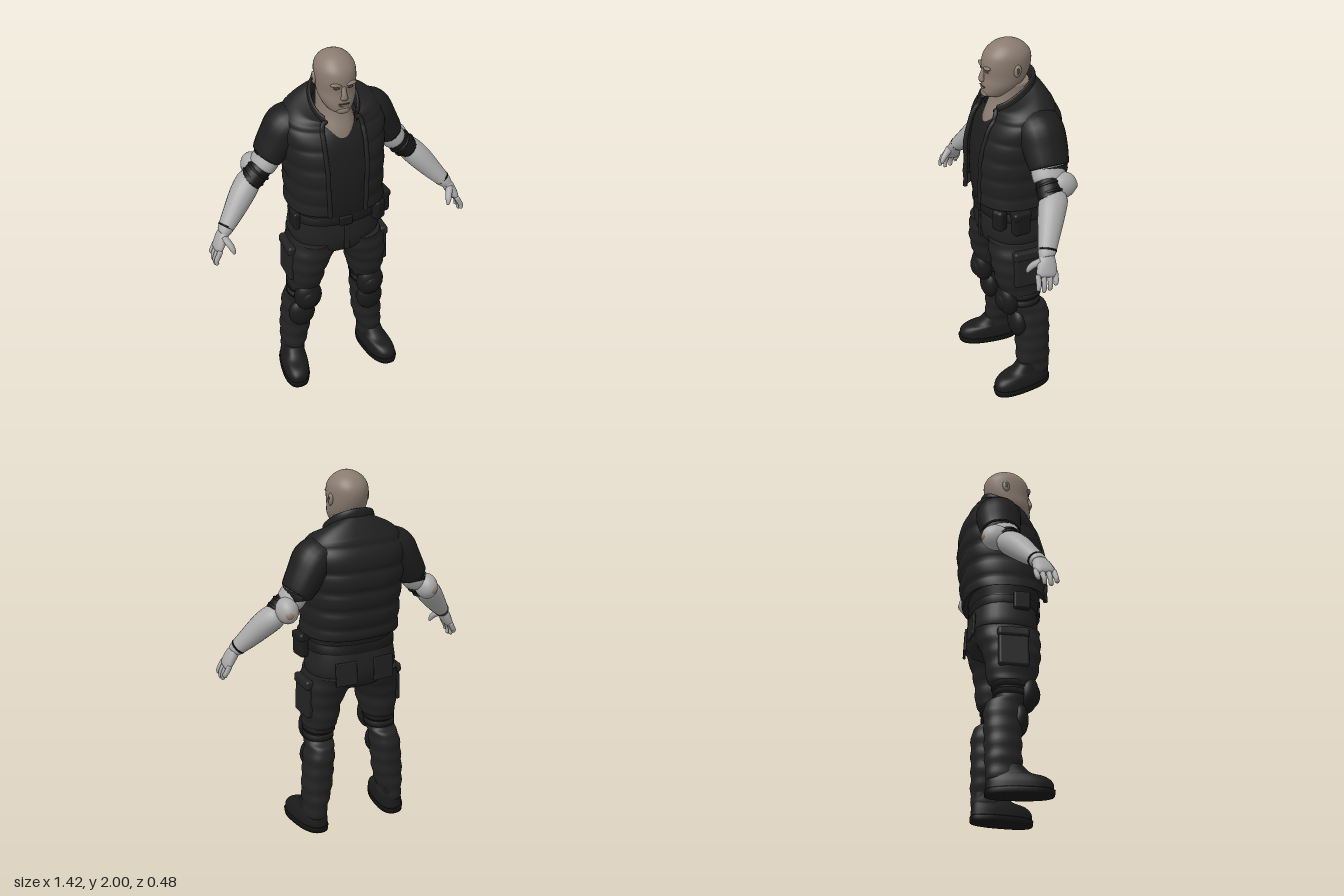
import * as THREE from 'three';
import { RoundedBoxGeometry } from 'three/addons/geometries/RoundedBoxGeometry.js';

const mat = (name, color, side = THREE.FrontSide) => {
  const m = new THREE.MeshStandardMaterial({ color, side });
  m.name = name;
  return m;
};
const V = (x, y, z) => new THREE.Vector3(x, y, z);

// Catmull-Rom value between b and c
const spline = (a, b, c, d, t) =>
  b + 0.5 * t * (c - a + t * (2 * a - 5 * b + 4 * c - d + t * (3 * (b - c) + d - a)));

// Subdivide a table of cross-section numbers
function smooth(rows, k = 5) {
  const out = [], last = rows.length - 1;
  for (let i = 0; i < last; i++) {
    const [a, b, c, d] = [i - 1, i, i + 1, i + 2].map(j => rows[Math.min(Math.max(j, 0), last)]);
    for (let s = 0; s < k; s++) out.push(b.map((p, n) => spline(a[n], p, c[n], d[n], s / k)));
  }
  out.push(rows[last]);
  return out;
}

// Skin a list of rings; closed rings get fan caps
function loft(rings, closed = true) {
  const pos = [], idx = [], n = rings[0].length, last = rings.length - 1;
  rings.forEach(r => r.forEach(p => pos.push(p.x, p.y, p.z)));
  for (let j = 0; j < last; j++) for (let i = 0; i < (closed ? n : n - 1); i++) {
    const a = j * n + i, b = j * n + (i + 1) % n;
    idx.push(a, b, a + n, b, b + n, a + n);
  }
  if (closed) [0, last].forEach(j => {
    const c = rings[j].reduce((s, p) => s.add(p), V(0, 0, 0)).divideScalar(n), m = pos.length / 3;
    pos.push(c.x, c.y, c.z);
    for (let i = 0; i < n; i++) {
      const a = j * n + i, b = j * n + (i + 1) % n;
      if (j) idx.push(a, b, m); else idx.push(b, a, m);
    }
  });
  const g = new THREE.BufferGeometry();
  g.setAttribute('position', new THREE.Float32BufferAttribute(pos, 3));
  g.setIndex(idx);
  g.computeVertexNormals();
  return g;
}

// Level ring from [y, centreX, halfWidth, zFront, zBack, tilt, frontGap]
function ring([y, cx, rx, zf, zb, tilt = 0, gap = 0], e = 2.3, n = 40, turn = 0) {
  const a0 = gap > 0 ? Math.asin(Math.min(1, (gap / rx) ** (e / 2))) : 0;
  const pw = v => Math.sign(v) * Math.abs(v) ** (2 / e);
  return Array.from({ length: n }, (_, i) => {
    const a = gap > 0 ? a0 + (2 * Math.PI - 2 * a0) * i / (n - 1) : 2 * Math.PI * i / n;
    const z = (zf + zb) / 2 + pw(Math.cos(a)) * (zf - zb) / 2;
    return V(cx + rx * pw(Math.sin(a)) + turn * z, y - tilt * z, z);
  });
}
const body = (rows, e) => loft(smooth(rows).map(r => ring(r, e)));

// Limb along points [x, y, z, thickness, depth]; depth runs roughly along z
function limb(points, k = 4, n = 20) {
  const rows = smooth(points, k), at = r => V(r[0], r[1], r[2]);
  return loft(rows.map((r, j) => {
    const d = at(rows[Math.min(j + 1, rows.length - 1)]).sub(at(rows[Math.max(j - 1, 0)])).normalize();
    const v = V(0, 0, 1).addScaledVector(d, -d.z).normalize(), u = d.clone().cross(v);
    return Array.from({ length: n }, (_, i) => {
      const a = 2 * Math.PI * i / n;
      return at(r).addScaledVector(u, r[3] * Math.sin(a)).addScaledVector(v, r[4] * Math.cos(a));
    });
  }));
}

export function createModel() {
  const model = new THREE.Group();
  const vest = mat('vest black', 0x202020, THREE.DoubleSide), shirt = mat('shirt black', 0x1d1d1d);
  const cloth = mat('trouser black', 0x222222), boot = mat('boot black', 0x1a1a1a);
  const skin = mat('skin', 0x8a7b70), shade = mat('skin crease', 0x4b423c);
  const pale = mat('pale grey arm', 0xa9a9a9), joint = mat('joint black', 0x151515), tan = mat('elbow tan', 0x9c8372);
  const add = (parent, name, geo, m, p, r) => {
    const o = new THREE.Mesh(geo, m);
    o.name = name;
    if (p) o.position.set(...p);
    if (r) o.rotation.set(...r);
    parent.add(o);
    return o;
  };
  const blob = (parent, name, m, p, s, r) => add(parent, name, new THREE.SphereGeometry(1, 24, 16), m, p, r).scale.set(...s);
  const block = (parent, name, m, s, p, r) => add(parent, name, new RoundedBoxGeometry(...s, 3, Math.min(...s) * 0.35), m, p, r);

  // Head and neck
  add(model, 'head', body([
    [1.708, 0, 0.04, 0.145, 0.03], [1.725, 0, 0.065, 0.162, 0], [1.77, 0, 0.09, 0.163, -0.045],
    [1.82, 0, 0.098, 0.157, -0.08], [1.88, 0, 0.103, 0.16, -0.097], [1.93, 0, 0.099, 0.147, -0.092],
    [1.97, 0, 0.074, 0.11, -0.06], [1.993, 0, 0.036, 0.07, -0.015], [2, 0, 0.006, 0.034, 0.02]], 2.1), skin);
  add(model, 'neck', body([[1.56, 0, 0.1, 0.16, -0.1], [1.61, 0, 0.1, 0.147, -0.09], [1.68, 0, 0.09, 0.12, -0.09],
    [1.78, 0, 0.085, 0.1, -0.085]], 2.2), skin);
  add(model, 'nose', limb([[0, 1.86, 0.15, 0.012, 0.01], [0, 1.82, 0.164, 0.014, 0.014], [0, 1.8, 0.166, 0.02, 0.014], [0, 1.793, 0.162, 0.014, 0.008]]), skin);
  block(model, 'mouth', shade, [0.056, 0.006, 0.008], [0, 1.766, 0.162]);
  blob(model, 'lowerLip', skin, [0, 1.758, 0.158], [0.026, 0.007, 0.01]);
  blob(model, 'chin', skin, [0, 1.727, 0.15], [0.035, 0.02, 0.018]);
  for (const s of [1, -1]) {
    blob(model, 'brow', skin, [s * 0.036, 1.871, 0.15], [0.034, 0.01, 0.014], [0, 0, s * 0.12]);
    blob(model, 'eye', shade, [s * 0.036, 1.853, 0.153], [0.017, 0.006, 0.005], [0, s * 0.2, 0]);
    blob(model, 'ear', skin, [s * 0.104, 1.86, 0.012], [0.012, 0.033, 0.02], [-0.15, 0, 0]);
    blob(model, 'earHollow', shade, [s * 0.114, 1.862, 0.013], [0.004, 0.018, 0.009], [-0.15, 0, 0]);
  }

  // Shirt
  add(model, 'shirt', body([[1.08, 0, 0.225, 0.19, -0.16], [1.2, 0, 0.235, 0.21, -0.18], [1.35, 0, 0.24, 0.212, -0.2],
    [1.5, 0, 0.25, 0.185, -0.2], [1.59, 0, 0.2, 0.145, -0.16], [1.63, 0, 0.12, 0.1, -0.11]], 2.4), shirt);

  // Quilted open vest, with a turned-in hem
  const vestRows = smooth([[1.15, 0, 0.262, 0.234, -0.2, 0, 0.1], [1.2, 0, 0.26, 0.234, -0.213, 0, 0.1],
    [1.35, 0, 0.264, 0.234, -0.23, 0, 0.105], [1.5, 0, 0.274, 0.208, -0.238, 0, 0.11], [1.6, 0, 0.277, 0.17, -0.222, 0.08, 0.11],
    [1.665, 0, 0.25, 0.142, -0.18, 0.2, 0.105], [1.705, 0, 0.2, 0.135, -0.145, 0.35, 0.09], [1.725, 0, 0.13, 0.14, -0.112, 0.6, 0.08]], 9);
  const puffed = vestRows.map(([y, cx, rx, zf, zb, t, g]) => {
    const p = y < 1.66 ? 0.016 * (Math.sqrt(Math.abs(Math.sin(Math.PI * (y - 1.21) / 0.105))) - 0.75) : 0;
    return [y, cx, rx + p * 0.6, zf + p * 0.6, zb - p, t, g];
  });
  puffed.unshift([1.17, 0, 0.235, 0.205, -0.175, 0, 0.1]);
  const vestRings = puffed.map(r => ring(r, 2.45, 64));
  add(model, 'vest', loft(vestRings, false), vest);
  for (const i of [0, 63]) {
    const path = new THREE.CatmullRomCurve3(vestRings.slice(1).filter((_, j) => j % 4 === 0).map(r => r[i]));
    add(model, 'vestEdge', new THREE.TubeGeometry(path, 50, 0.013, 8), vest);
  }
  const collar = [[1.69, 0, 0.128, 0.142, -0.112, 0.6, 0.085], [1.73, 0, 0.132, 0.15, -0.118, 0.64, 0.085], [1.757, 0, 0.127, 0.152, -0.11, 0.66, 0.085],
    [1.762, 0, 0.119, 0.144, -0.1, 0.66, 0.083], [1.745, 0, 0.112, 0.135, -0.093, 0.64, 0.08], [1.69, 0, 0.11, 0.13, -0.092, 0.6, 0.08]];
  add(model, 'collar', loft(smooth(collar, 3).map(r => ring(r, 2.2)), false), vest);

  // Hips and belt
  add(model, 'hips', body([[0.83, 0, 0.09, 0.09, -0.09], [0.87, 0, 0.2, 0.165, -0.155], [0.94, 0, 0.248, 0.188, -0.182],
    [1.02, 0, 0.244, 0.19, -0.18], [1.1, 0, 0.23, 0.183, -0.165], [1.16, 0, 0.225, 0.18, -0.16]], 2.4), cloth);
  add(model, 'belt', loft([[1.06, 0, 0.232, 0.182, -0.166], [1.063, 0, 0.245, 0.197, -0.178], [1.108, 0, 0.242, 0.195, -0.175],
    [1.111, 0, 0.23, 0.182, -0.165]].map(r => ring(r, 2.4))), boot);
  block(model, 'buckle', boot, [0.07, 0.055, 0.02], [0, 1.085, 0.198]);
  block(model, 'fly', cloth, [0.03, 0.15, 0.014], [0.01, 0.965, 0.187]);
  block(model, 'frontPouch', boot, [0.07, 0.12, 0.06], [0.2, 1.085, 0.155], [0, 0.5, 0]);
  block(model, 'sidePouch', boot, [0.06, 0.14, 0.1], [0.26, 1.08, 0.06], [0, 0.1, 0]);
  block(model, 'sidePouchFlap', boot, [0.066, 0.045, 0.106], [0.26, 1.125, 0.06], [0, 0.1, 0]);
  block(model, 'smallPouch', boot, [0.035, 0.1, 0.09], [-0.24, 1.075, 0.07]);

  // Arms and legs: one side, mirrored for the other
  for (const s of [1, -1]) {
    const side = new THREE.Group();
    side.name = s > 0 ? 'leftLimbs' : 'rightLimbs';
    side.scale.x = s;
    model.add(side);

    // Trouser leg with soft folds
    const leg = smooth([[0.08, 0.238, 0.058, 0.06, -0.115], [0.16, 0.233, 0.066, 0.066, -0.122], [0.25, 0.222, 0.08, 0.066, -0.122],
      [0.36, 0.213, 0.081, 0.07, -0.125], [0.46, 0.203, 0.08, 0.075, -0.125], [0.505, 0.196, 0.077, 0.085, -0.11],
      [0.535, 0.192, 0.075, 0.09, -0.066], [0.6, 0.185, 0.08, 0.115, -0.075], [0.64, 0.178, 0.092, 0.15, -0.105],
      [0.75, 0.17, 0.108, 0.176, -0.115], [0.85, 0.143, 0.132, 0.184, -0.142], [0.93, 0.128, 0.122, 0.184, -0.175]], 6)
      .map(([y, cx, rx, zf, zb]) => {
        const f = 0.003 * Math.sin(y * 75);
        return [y, cx, rx + f, zf + f, zb - f];
      });
    add(side, 'trouserLeg', loft(leg.map(r => ring(r, 2.2))), cloth);
    block(side, 'cargoPocket', cloth, [0.04, 0.19, 0.16], [0.265, 0.78, 0.02], [0, 0, 0.04]);
    block(side, 'pocketFlap', cloth, [0.048, 0.055, 0.17], [0.266, 0.875, 0.02], [0, 0, 0.06]);
    block(side, 'backPocket', cloth, [0.12, 0.13, 0.015], [0.11, 0.96, -0.178], [0.05, -0.1, 0]);

    // Knee guards and straps
    blob(side, 'kneePad', boot, [0.184, 0.565, 0.105], [0.078, 0.1, 0.058], [0.1, 0.05, 0]);
    blob(side, 'kneeCap', boot, [0.184, 0.56, 0.13], [0.056, 0.065, 0.042], [0.1, 0.05, 0]);
    blob(side, 'shinPad', boot, [0.204, 0.415, 0.055], [0.076, 0.09, 0.05]);
    for (const [y, cx, rx, zf, zb] of [[0.6, 0.185, 0.086, 0.11, -0.082], [0.555, 0.19, 0.083, 0.1, -0.075]])
      add(side, 'kneeStrap', loft([[y - 0.015, cx, rx, zf, zb], [y + 0.015, cx, rx, zf, zb]].map(r => ring(r, 2.2))), boot);

    // Boot, toes turned slightly out
    const foot = rows => loft(rows.map(r => ring(r, 2.5, 40, 0.12)));
    add(side, 'sole', foot([[0, 0.248, 0.076, 0.218, -0.122], [0.028, 0.248, 0.079, 0.222, -0.125], [0.032, 0.248, 0.072, 0.213, -0.12]]), joint);
    add(side, 'boot', foot(smooth([[0.03, 0.247, 0.074, 0.214, -0.12], [0.065, 0.246, 0.073, 0.212, -0.118], [0.095, 0.243, 0.066, 0.18, -0.114],
      [0.115, 0.24, 0.06, 0.11, -0.112], [0.16, 0.236, 0.056, 0.062, -0.11]], 4)), boot);

    // Sleeve and mechanical arm
    add(side, 'sleeve', limb([[0.18, 1.62, -0.05, 0.085, 0.11], [0.235, 1.58, -0.055, 0.108, 0.122], [0.285, 1.505, -0.06, 0.096, 0.118],
      [0.334, 1.426, -0.06, 0.081, 0.105], [0.338, 1.42, -0.06, 0.07, 0.092]]), shirt);
    add(side, 'upperArm', limb([[0.31, 1.46, -0.055, 0.066, 0.088], [0.35, 1.4, -0.05, 0.068, 0.09], [0.375, 1.368, -0.048, 0.064, 0.084], [0.385, 1.355, -0.046, 0.045, 0.06]]), pale);
    add(side, 'elbowJoint', limb([[0.365, 1.38, -0.04, 0.055, 0.065], [0.41, 1.34, -0.03, 0.062, 0.068], [0.455, 1.295, -0.015, 0.055, 0.06]]), joint);
    for (const t of [0.012, 0.042])
      add(side, 'jointRing', new THREE.TorusGeometry(0.062, 0.007, 8, 24), joint, [0.385 + t, 1.362 - t, -0.03], [Math.PI / 2, 0.8, 0]);
    blob(side, 'elbowGuard', pale, [0.41, 1.345, -0.1], [0.058, 0.07, 0.076]);
    blob(side, 'elbowPatch', tan, [0.418, 1.34, -0.158], [0.026, 0.026, 0.02]);
    add(side, 'forearm', limb([[0.425, 1.32, -0.05, 0.045, 0.055], [0.45, 1.3, -0.035, 0.062, 0.072], [0.5, 1.25, 0, 0.065, 0.07],
      [0.57, 1.17, 0.045, 0.052, 0.056], [0.625, 1.11, 0.08, 0.037, 0.044], [0.64, 1.095, 0.085, 0.028, 0.036]]), pale);
    add(side, 'wristSeam', limb([[0.612, 1.125, 0.07, 0.042, 0.048], [0.617, 1.119, 0.073, 0.042, 0.048]], 2), joint);

    // Hand
    add(side, 'palm', limb([[0.628, 1.108, 0.08, 0.028, 0.036], [0.648, 1.075, 0.09, 0.03, 0.048], [0.672, 1.03, 0.1, 0.024, 0.054], [0.68, 1.012, 0.104, 0.014, 0.046]]), pale);
    for (const [z, tip] of [[0.055, 0.965], [0.086, 0.943], [0.118, 0.938], [0.148, 0.955]])
      add(side, 'finger', limb([[0.672, 1.03, z, 0.014, 0.014], [0.69, 0.995, z + 0.003, 0.014, 0.014], [0.699, (tip + 1) / 2, z + 0.006, 0.0125, 0.0125],
        [0.697, tip + 0.006, z + 0.008, 0.011, 0.011], [0.695, tip, z + 0.008, 0.005, 0.005]], 3, 10), pale);
    add(side, 'thumb', limb([[0.642, 1.085, 0.115, 0.02, 0.022], [0.622, 1.06, 0.15, 0.017, 0.018], [0.612, 1.035, 0.17, 0.014, 0.014], [0.607, 1.015, 0.177, 0.006, 0.006]], 3, 12), pale);
  }
  return model;
}
